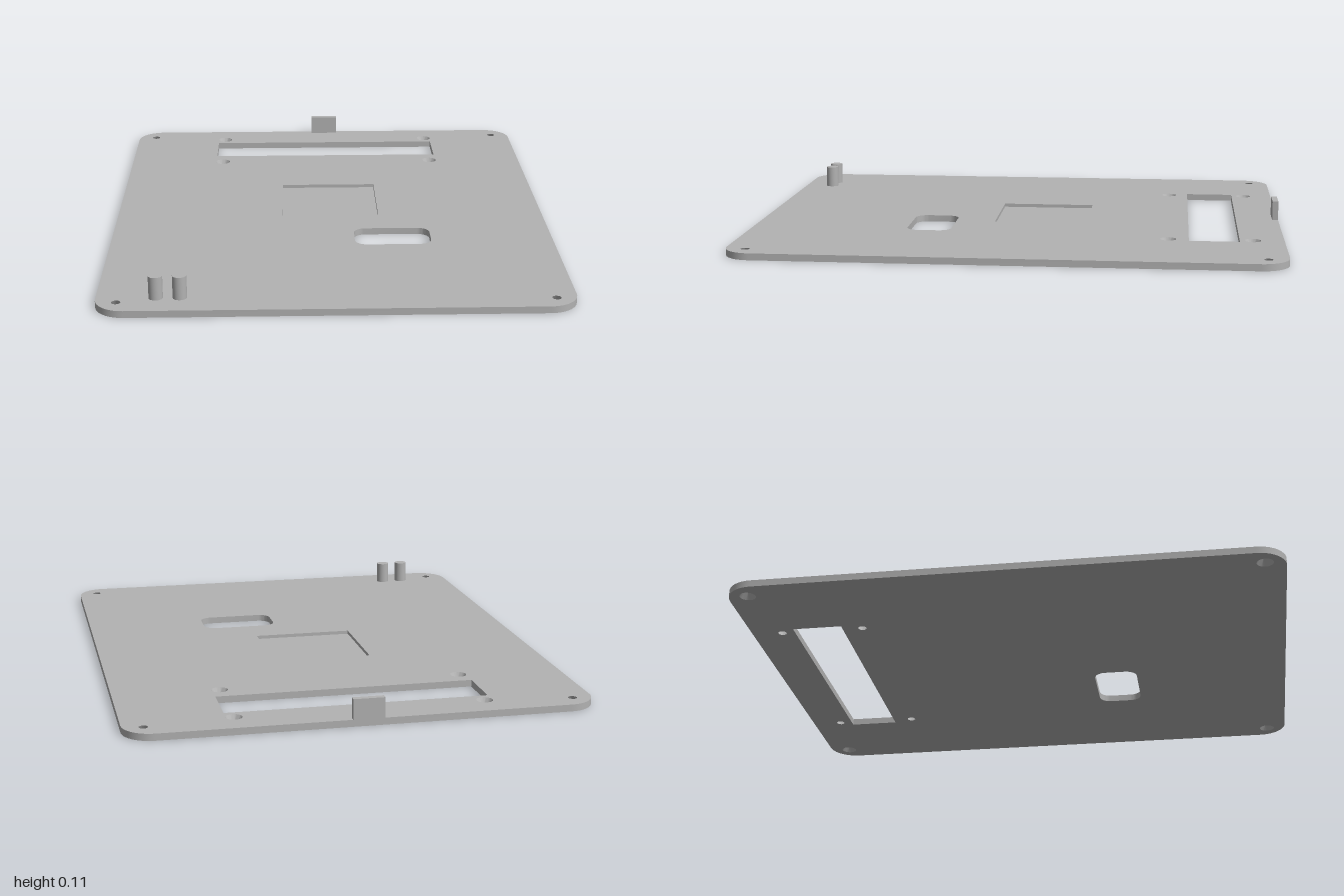
import * as THREE from 'three';
import { toCreasedNormals } from 'three/addons/utils/BufferGeometryUtils.js';

const T = 0.025;          // plate thickness
const FLOOR = 0.012;      // height of the square recess floor

// Counter-clockwise outlines in plan; plan y is -z.
function rect(x0, x1, z0, z1, r = 0) {
  const pts = [], n = r ? 10 : 0;
  const corners = [[x1 - r, -z0 - r], [x0 + r, -z0 - r], [x0 + r, -z1 + r], [x1 - r, -z1 + r]];
  corners.forEach(([cx, cy], k) => {
    for (let i = 0; i <= n; i++) {
      const a = (k + (n ? i / n : 0)) * Math.PI / 2;
      pts.push(new THREE.Vector2(cx + r * Math.cos(a), cy + r * Math.sin(a)));
    }
  });
  return pts;
}

function circle(x, z, r, n = 32) {
  return Array.from({ length: n }, (_, i) => {
    const a = i / n * Math.PI * 2;
    return new THREE.Vector2(x + r * Math.cos(a), -z + r * Math.sin(a));
  });
}

// Flat face with holes, facing up or down
function face(outline, holes, y, down = false) {
  const shape = new THREE.Shape(outline);
  shape.holes = holes.map(h => new THREE.Path(h));
  const g = new THREE.ShapeGeometry(shape);
  if (down) {
    const ix = g.index.array;
    for (let i = 0; i < ix.length; i += 3) [ix[i], ix[i + 1]] = [ix[i + 1], ix[i]];
    g.computeVertexNormals();
  }
  return g.rotateX(-Math.PI / 2).translate(0, y, 0);
}

// Side wall between a lower and an upper outline; inward for holes
function wall(low, high, y0, y1, inward = false) {
  const pos = [], n = low.length;
  const add = (p, y) => pos.push(p.x, y, -p.y);
  for (let i = 0; i < n; i++) {
    const j = (i + 1) % n;
    const [a, b] = inward ? [j, i] : [i, j];
    add(low[a], y0); add(low[b], y0); add(high[b], y1);
    add(low[a], y0); add(high[b], y1); add(high[a], y1);
  }
  const g = new THREE.BufferGeometry();
  g.setAttribute('position', new THREE.Float32BufferAttribute(pos, 3));
  return toCreasedNormals(g, 0.6);
}

export function createModel() {
  const model = new THREE.Group();
  model.name = 'coverPlate';
  const grey = new THREE.MeshStandardMaterial({ color: 0xb2b2b2 });
  grey.name = 'plain grey';
  const add = (name, geometry, parent = model) => {
    const mesh = new THREE.Mesh(geometry, grey);
    mesh.name = name;
    parent.add(mesh);
    return mesh;
  };

  const outline = rect(-0.832, 0.832, -1, 1, 0.105);
  const recess = rect(-0.187, 0.188, -0.266, 0.093);

  // Through openings as lower and upper outlines
  const openings = [];
  const through = (name, low, high = low) => openings.push({ name, low, high });
  through('displaySlot', rect(-0.473, 0.473, -0.837, -0.652));
  through('roundedOpening', rect(0.085, 0.373, 0.243, 0.411, 0.045));
  for (const s of [-1, 1]) {
    // Corner holes widen downwards, slot screw holes widen upwards
    for (const z of [-0.925, 0.925])
      through('cornerHole', circle(s * 0.758, z, 0.03), circle(s * 0.758, z, 0.016));
    for (const z of [-0.885, -0.576])
      through('slotScrewHole', circle(s * 0.446, z, 0.016), circle(s * 0.446, z, 0.03));
  }

  // Plate
  const plate = new THREE.Group();
  plate.name = 'plate';
  model.add(plate);
  add('plateTop', face(outline, [...openings.map(o => o.high), recess], T), plate);
  add('plateBottom', face(outline, openings.map(o => o.low), 0, true), plate);
  add('plateRim', wall(outline, outline, 0, T), plate);
  for (const o of openings) add(o.name, wall(o.low, o.high, 0, T, true), plate);

  // Square recess
  add('recessFloor', face(recess, [], FLOOR), plate);
  add('recessWall', wall(recess, recess, FLOOR, T, true), plate);

  // Pegs at the front
  for (const x of [-0.624, -0.541]) {
    const h = 0.108 - T;
    add('peg', new THREE.CylinderGeometry(0.025, 0.025, h, 32)).position.set(x, T + h / 2, 0.888);
  }

  // Upright tab on the back edge
  const tabH = 0.098 - T;
  add('backTab', new THREE.BoxGeometry(0.112, tabH, 0.022)).position.set(0, T + tabH / 2, -0.989);

  return model;
}
